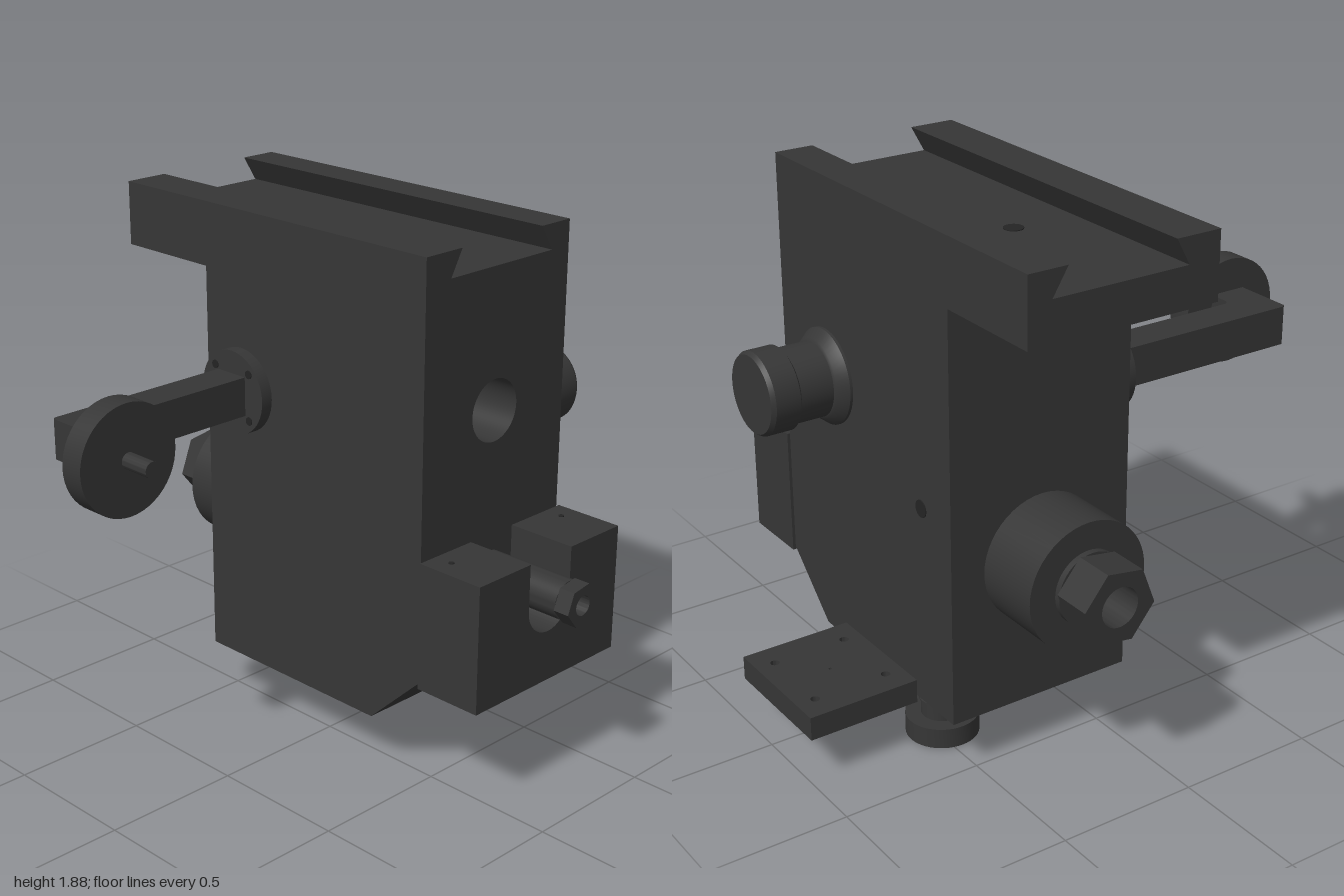
import * as THREE from 'three';
import { toCreasedNormals } from 'three/addons/utils/BufferGeometryUtils.js';

const metal = new THREE.MeshStandardMaterial({ color: 0x363636 });
metal.name = 'dark metal';
const recess = new THREE.MeshStandardMaterial({ color: 0x242424 });
recess.name = 'hole shadow';

export function createModel() {
  const model = new THREE.Group();
  const CX = 0.245, BORE_Y = 0.72;
  const X0 = -0.1, X1 = 0.595;

  function add(name, geometry, x = 0, y = 0, z = 0, material = metal) {
    const mesh = new THREE.Mesh(geometry, material);
    mesh.name = name;
    mesh.position.set(x, y, z);
    model.add(mesh);
    return mesh;
  }
  function box(name, x0, x1, y0, y1, z0, z1) {
    return add(name, new THREE.BoxGeometry(x1 - x0, y1 - y0, z1 - z0),
      (x0 + x1) / 2, (y0 + y1) / 2, (z0 + z1) / 2);
  }
  const polygon = pts => new THREE.Shape(pts.map(p => new THREE.Vector2(...p)));
  const circle = (x, y, r) => new THREE.Path().absarc(x, y, r, 0, Math.PI * 2, true);
  function extrude(shape, depth) {
    return toCreasedNormals(new THREE.ExtrudeGeometry(shape,
      { depth, bevelEnabled: false, curveSegments: 32 }), 0.5);
  }
  // front-view outline swept from z0 to z1
  function slab(name, pts, z0, z1, holes = []) {
    const shape = polygon(pts);
    holes.forEach(h => shape.holes.push(circle(...h)));
    return add(name, extrude(shape, z1 - z0), 0, 0, z0);
  }
  // turned part: [radius, height] profile along the chosen axis
  function turned(name, profile, axis, x, y, z, material = metal) {
    const g = toCreasedNormals(new THREE.LatheGeometry(
      profile.map(p => new THREE.Vector2(...p)), 48), 0.5);
    if (axis === 'x') g.rotateZ(-Math.PI / 2);
    if (axis === 'z') g.rotateX(Math.PI / 2);
    return add(name, g, x, y, z, material);
  }
  const rod = (r, a, b) => [[0, a], [r, a], [r, b], [0, b]];
  const ring = (ri, r, a, b) => [[ri, a], [r, a], [r, b], [ri, b], [ri, a]];
  const rect = (x0, x1, y0, y1) => [[x0, y0], [x1, y0], [x1, y1], [x0, y1]];

  // main housing: bored front and back layers
  const wall = rect(X0, X1, 0.41, 1.65);
  slab('housingFront', wall, 0.2, 0.525, [[CX, BORE_Y, 0.07], [CX, 1.295, 0.11]]);
  slab('housingBack', wall, -0.51, 0.2, [[CX, BORE_Y, 0.07]]);

  // chamfered housing foot, side outline swept along x
  const foot = extrude(polygon([[-0.525, 0.41], [-0.305, 0.2], [0.51, 0.2], [0.51, 0.41]]), X1 - X0);
  foot.rotateY(Math.PI / 2);
  add('housingFoot', foot, X0);

  // dovetail top with rear overhang
  slab('dovetailTop', [[X0, 1.65], [X1, 1.65], [X1, 1.88], [0.455, 1.88],
    [0.51, 1.79], [0.015, 1.79], [0.065, 1.88], [X0, 1.88]], -0.92, 0.525);
  turned('topHole', rod(0.033, 0, 0.003), 'y', CX, 1.79, -0.35, recess);
  turned('sideHole', rod(0.03, 0, 0.003), 'x', X1, 0.92, -0.34, recess);

  // front bracket with a rounded slot for the spindle
  const bracket = new THREE.Shape();
  bracket.moveTo(-0.11, 0.395);
  bracket.lineTo(0.603, 0.395);
  bracket.lineTo(0.603, 0.855);
  bracket.lineTo(CX + 0.105, 0.855);
  bracket.lineTo(CX + 0.105, 0.685);
  bracket.absarc(CX, 0.685, 0.105, 0, Math.PI, true);
  bracket.lineTo(CX - 0.105, 0.855);
  bracket.lineTo(-0.11, 0.855);
  add('frontBracket', extrude(bracket, 0.26), 0, 0, 0.53);
  for (const x of [-0.035, 0.53])
    turned('bracketHole', rod(0.01, 0, 0.003), 'y', x, 0.855, 0.6, recess);

  // hollow spindle, rear boss and hexagonal ends
  turned('spindle', ring(0.035, 0.07, -0.76, 0.87), 'z', CX, BORE_Y, 0);
  turned('rearBoss', ring(0.07, 0.225, -0.76, -0.51), 'z', CX, BORE_Y, 0);
  turned('rearCollar', ring(0.07, 0.128, -0.782, -0.76), 'z', CX, BORE_Y, 0);
  function hexEnd(name, r, hole, z0, z1) {
    const pts = [];
    for (let i = 0; i < 6; i++) {
      const a = 0.155 + i * Math.PI / 3;
      pts.push([CX + r * Math.cos(a), BORE_Y + r * Math.sin(a)]);
    }
    slab(name, pts, z0, z1, [[CX, BORE_Y, hole]]);
  }
  hexEnd('rearHexNut', 0.137, 0.07, -0.925, -0.782);
  hexEnd('spindleHexTip', 0.077, 0.035, 0.87, 0.93);

  // crank on the right side
  turned('crankFlange', rod(0.152, -0.145, -0.1), 'x', 0, 1.24, -0.335);
  for (let i = 0; i < 4; i++) {
    const a = Math.PI / 4 + i * Math.PI / 2;
    turned('flangeScrew', rod(0.015, -0.148, -0.14), 'x', 0,
      1.24 + 0.12 * Math.sin(a), -0.335 + 0.12 * Math.cos(a), recess);
  }
  const arm = extrude(polygon([[-0.14, 0.27], [-0.71, 0.27], [-0.725, 0.255], [-0.725, 0.175],
    [-0.865, 0.175], [-0.865, 0.395], [-0.855, 0.405], [-0.14, 0.405]].reverse()), 0.14);
  arm.rotateX(-Math.PI / 2);
  add('crankArm', arm, 0, 1.17, 0);
  turned('crankDisc', rod(0.193, -0.178, -0.088), 'z', -0.807, 1.235, 0);
  turned('crankPin', rod(0.028, -0.09, 0.03), 'z', -0.807, 1.235, 0);

  // knob on the left side
  turned('sideKnob', [[0, 0.59], [0.168, 0.59], [0.168, 0.605], [0.14, 0.64], [0.13, 0.645],
    [0.13, 0.765], [0.145, 0.775], [0.145, 0.865], [0.135, 0.88], [0, 0.88]], 'x', 0, 1.18, 0.235);

  // drilled mounting plate
  const plate = polygon(rect(X1, 1.0, -0.175, 0.288));
  for (const x of [0.66, 0.93])
    for (const y of [-0.08, 0.195]) plate.holes.push(circle(x, y, 0.016));
  plate.holes.push(circle(0.795, 0.06, 0.006));
  const plateGeometry = extrude(plate, 0.085);
  plateGeometry.rotateX(-Math.PI / 2);
  add('mountingPlate', plateGeometry, 0, 0.173, 0);

  // foot knob and underside screws
  turned('footKnob', [[0, 0], [0.127, 0], [0.127, 0.073], [0.073, 0.073], [0.073, 0.13],
    [0.08, 0.132], [0.08, 0.138], [0.073, 0.14], [0.073, 0.2], [0, 0.2]], 'y', 0.468, 0, -0.243);
  box('undersidePlate', 0.12, 0.37, 0.193, 0.2, -0.37, -0.115);
  for (const x of [0.165, 0.245, 0.33])
    turned('undersideScrew', rod(0.02, 0.186, 0.195), 'y', x, 0, -0.243);

  return model;
}
